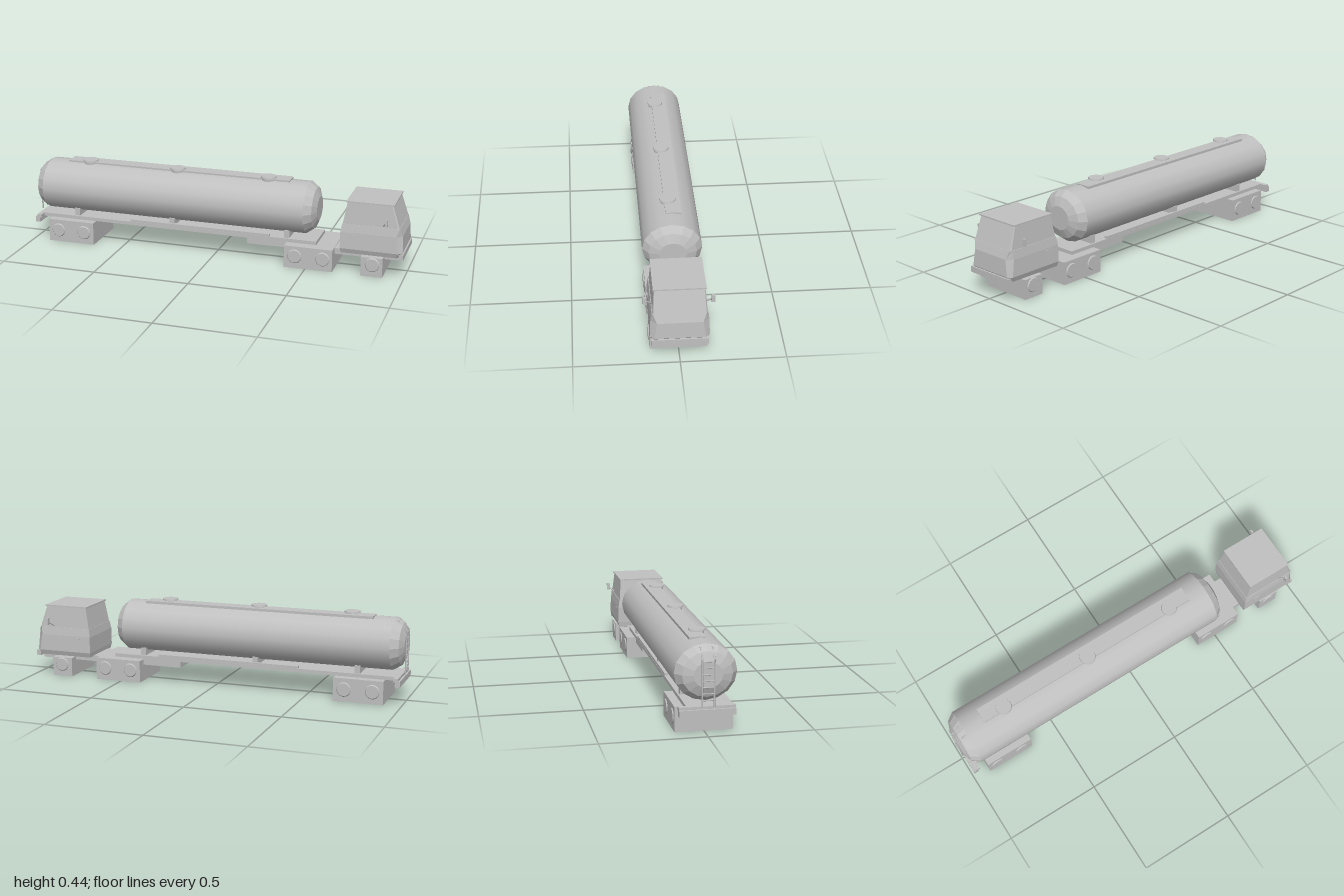
import * as THREE from 'three';

const grey = new THREE.MeshStandardMaterial({ color: 0xc0c0c0 });
grey.name = 'plain grey';

export function createModel() {
  const model = new THREE.Group();
  model.name = 'tankerTruck';

  const add = (name, geometry) => {
    const mesh = new THREE.Mesh(geometry, grey);
    mesh.name = name;
    model.add(mesh);
    return mesh;
  };
  // Box given by its limits on each axis
  const box = (name, x0, x1, y0, y1, z0, z1) => {
    const g = new THREE.BoxGeometry(x1 - x0, y1 - y0, z1 - z0);
    g.translate((x0 + x1) / 2, (y0 + y1) / 2, (z0 + z1) / 2);
    return add(name, g);
  };
  const flat = (g) => {
    const f = g.toNonIndexed();
    f.computeVertexNormals();
    return f;
  };
  // Round bar between two points
  const bar = (name, a, b, r) => {
    const path = new THREE.LineCurve3(new THREE.Vector3(...a), new THREE.Vector3(...b));
    return add(name, new THREE.TubeGeometry(path, 1, r, 6));
  };

  // Tank: smooth elliptical barrel with faceted, stepped ends
  const CY = 0.287, RY = 0.133, RZ = 0.147, SIDES = 16;
  const tankRing = (name, x0, x1, r0, r1, open, faceted) => {
    let g = new THREE.CylinderGeometry(r1, r0, x1 - x0, SIDES, 1, open);
    g.rotateZ(-Math.PI / 2);
    g.scale(1, RY, RZ);
    g.translate((x0 + x1) / 2, CY, 0);
    if (faceted) g = flat(g);
    add(name, g);
  };
  tankRing('tankBarrel', -0.935, 0.485, 1, 1, true, false);
  tankRing('tankFrontShoulder', 0.485, 0.522, 1, 0.8, true, true);
  tankRing('tankFrontEnd', 0.522, 0.54, 0.8, 0.46, false, true);
  tankRing('tankRearShoulder', -0.975, -0.935, 0.8, 1, true, true);
  tankRing('tankRearEnd', -0.994, -0.975, 0.46, 0.8, false, true);

  // Walkway and hatches along the top
  box('walkway', -0.83, 0.385, 0.411, 0.424, -0.054, 0.025);
  for (const x of [-0.71, -0.22, 0.27]) {
    const neck = new THREE.CylinderGeometry(0.035, 0.035, 0.025, 20);
    neck.translate(x, 0.417, 0.008);
    add('hatchNeck', neck);
    const lid = new THREE.CylinderGeometry(0.039, 0.041, 0.008, 20);
    lid.translate(x, 0.431, 0.008);
    add('hatchLid', lid);
  }

  // Trailer bed, side strips and tank saddles
  box('trailerBed', -0.98, 0.547, 0.12, 0.138, -0.095, 0.095);
  box('underBeam', 0.18, 0.39, 0.087, 0.12, -0.087, 0.087);
  box('rearBumper', -0.99, -0.965, 0.095, 0.125, -0.132, 0.132);
  box('rearCrossbar', -0.98, -0.955, 0.12, 0.138, -0.132, 0.132);
  for (const s of [-1, 1]) {
    const z = s * 0.085;
    box('sideStrip', -0.46, 0.3, 0.138, 0.15, z - 0.009, z + 0.009);
  }
  for (const x of [-0.765, -0.23, 0.39]) {
    box('tankSaddle', x - 0.014, x + 0.014, 0.135, 0.178, -0.085, 0.085);
  }

  // Rear ladder with rails bent over the tank end
  for (const z of [-0.028, 0.028]) {
    bar('ladderRail', [-0.995, 0.138, z], [-0.995, 0.36, z], 0.004);
    bar('ladderTopRail', [-0.995, 0.36, z], [-0.95, 0.408, z], 0.004);
    bar('ladderHandle', [-0.95, 0.408, z], [-0.935, 0.405, z], 0.004);
  }
  for (let i = 0; i < 7; i++) {
    const y = 0.17 + i * 0.03;
    bar('ladderRung', [-0.995, y, -0.028], [-0.995, y, 0.028], 0.003);
  }

  // Tractor chassis and bumper
  box('tractorChassis', 0.39, 0.975, 0.083, 0.113, -0.088, 0.088);
  box('frontBumper', 0.972, 0.995, 0.1, 0.13, -0.132, 0.132);

  // Wheel blocks with raised wheel discs
  const wheelBlocks = [
    ['rearWheelBlock', -0.91, -0.655, 0.12, [-0.855, -0.71]],
    ['middleWheelBlock', 0.39, 0.64, 0.116, [0.445, 0.59]],
    ['frontWheelBlock', 0.785, 0.895, 0.1, [0.843]],
  ];
  for (const [name, x0, x1, top, wheels] of wheelBlocks) {
    box(name, x0, x1, 0, top, -0.137, 0.137);
    for (const x of wheels) for (const s of [-1, 1]) {
      const disc = new THREE.CylinderGeometry(0.033, 0.038, 0.006, 16);
      disc.rotateX(s * Math.PI / 2);
      disc.translate(x, 0.063, s * 0.139);
      add('wheelDisc', flat(disc));
    }
  }

  // Cab lofted from six-cornered levels: y, back x, front x, half width, front half width, corner depth
  const cabLoft = (name, levels) => {
    const rings = levels.map(([y, xb, xf, w, f, d]) => [
      [xb, y, w], [xf - d, y, w], [xf, y, f], [xf, y, -f], [xf - d, y, -w], [xb, y, -w],
    ]);
    const pos = [];
    const tri = (a, b, c) => pos.push(...a, ...b, ...c);
    for (let i = 0; i + 1 < rings.length; i++) {
      const lo = rings[i], hi = rings[i + 1];
      for (let j = 0; j < 6; j++) {
        const k = (j + 1) % 6;
        tri(lo[j], lo[k], hi[k]);
        tri(lo[j], hi[k], hi[j]);
      }
    }
    const first = rings[0], last = rings[rings.length - 1];
    for (let j = 1; j < 5; j++) {
      tri(first[0], first[j + 1], first[j]);
      tri(last[0], last[j], last[j + 1]);
    }
    const g = new THREE.BufferGeometry();
    g.setAttribute('position', new THREE.Float32BufferAttribute(pos, 3));
    g.computeVertexNormals();
    add(name, g);
  };
  cabLoft('cabLower', [
    [0.11, 0.68, 0.968, 0.13, 0.115, 0.01],
    [0.135, 0.677, 0.99, 0.139, 0.12, 0.02],
    [0.22, 0.677, 0.986, 0.136, 0.107, 0.028],
    [0.262, 0.684, 0.972, 0.13, 0.124, 0.01],
  ]);
  cabLoft('cabUpper', [
    [0.262, 0.686, 0.97, 0.127, 0.122, 0.008],
    [0.374, 0.706, 0.933, 0.118, 0.115, 0.005],
  ]);
  box('cabRoof', 0.7, 0.94, 0.373, 0.38, -0.123, 0.123);

  // Mirrors and door handles on both sides
  for (const s of [-1, 1]) {
    const limits = (a, b) => [Math.min(s * a, s * b), Math.max(s * a, s * b)];
    bar('mirrorArm', [0.89, 0.27, s * 0.126], [0.91, 0.294, s * 0.155], 0.004);
    box('mirror', 0.905, 0.915, 0.278, 0.315, ...limits(0.15, 0.167));
    box('doorHandle', 0.735, 0.765, 0.205, 0.21, ...limits(0.13, 0.14));
  }

  return model;
}
